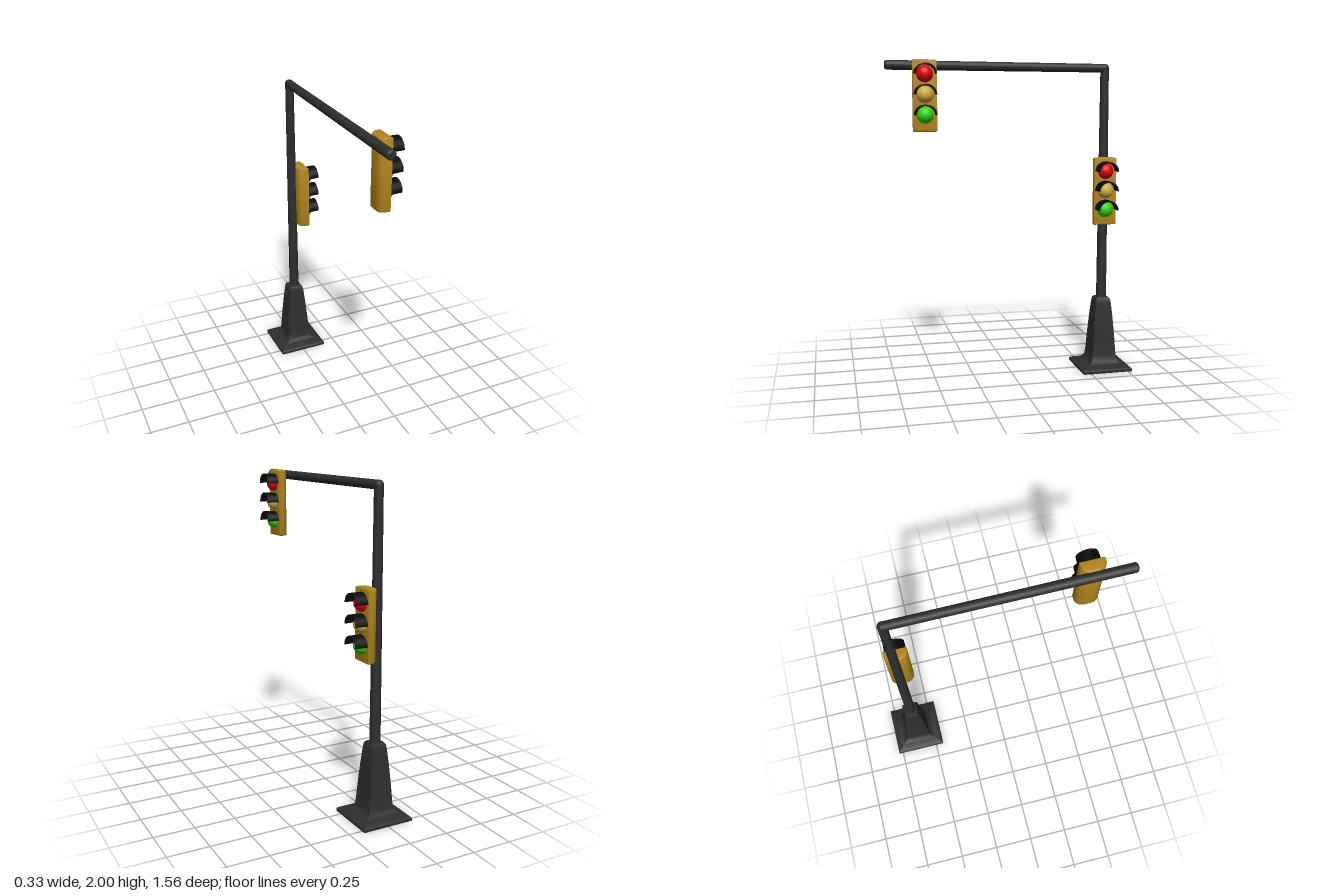
import * as THREE from 'three';
import { toCreasedNormals } from 'three/addons/utils/BufferGeometryUtils.js';

const paint = (color) => new THREE.MeshStandardMaterial({ color });
const iron = paint(0x2e2e2e);
const gold = paint(0xb0851c);
const black = paint(0x0a0a0a);
const lampPaints = { redLamp: paint(0xe00008), amberLamp: paint(0xcfae3c), greenLamp: paint(0x2fd808) };

const POLE_Z = -0.612;

function part(name, geometry, material) {
  const mesh = new THREE.Mesh(geometry, material);
  mesh.name = name;
  return mesh;
}

// Tapered round bar between two points
function bar(name, from, to, r0, r1) {
  const dir = to.clone().sub(from);
  const mesh = part(name, new THREE.CylinderGeometry(r1, r0, dir.length(), 24), iron);
  mesh.position.copy(from).addScaledVector(dir, 0.5);
  mesh.quaternion.setFromUnitVectors(new THREE.Vector3(0, 1, 0), dir.normalize());
  return mesh;
}

// Square flared foot: half width and height pairs swept around four sides
function footGeometry() {
  const profile = [[0, 0], [0.165, 0], [0.165, 0.016], [0.157, 0.024], [0.115, 0.037], [0.095, 0.049],
    [0.084, 0.066], [0.079, 0.1], [0.071, 0.22], [0.061, 0.34], [0.051, 0.44], [0.047, 0.464], [0.039, 0.475], [0, 0.475]];
  const points = profile.map(([half, y]) => new THREE.Vector2(half * Math.SQRT2, y));
  const geometry = new THREE.LatheGeometry(points, 4);
  geometry.rotateY(Math.PI / 4);
  return toCreasedNormals(geometry, 0.7);
}

// Signal case: flat front, rounded back, extruded upwards with a small bevel
function caseGeometry() {
  const b = 0.008, front = 0.09 - b, back = 0.02 + b, half = 0.073 - b;
  const shape = new THREE.Shape();
  shape.moveTo(front, -half);
  shape.lineTo(front, half);
  shape.lineTo(0.062, half);
  shape.bezierCurveTo(0.042, half - 0.004, back, 0.045, back, 0.018);
  shape.lineTo(back, -0.018);
  shape.bezierCurveTo(back, -0.045, 0.042, -half + 0.004, 0.062, -half);
  shape.closePath();
  const geometry = new THREE.ExtrudeGeometry(shape, {
    depth: 0.43 - 2 * b, bevelThickness: b, bevelSize: b, bevelSegments: 3, curveSegments: 10,
  });
  geometry.rotateX(-Math.PI / 2).translate(0, b, 0);
  return toCreasedNormals(geometry, 0.6);
}

// Visor: thin half-round hood, narrowing slightly towards its mouth
function visorGeometry() {
  const shape = new THREE.Shape();
  shape.absellipse(0, 0, 0.068, 0.062, 0, Math.PI, false);
  shape.lineTo(-0.060, 0);
  shape.absellipse(0, 0, 0.060, 0.054, Math.PI, 0, true);
  shape.closePath();
  const geometry = new THREE.ExtrudeGeometry(shape, { depth: 0.08, bevelEnabled: false, curveSegments: 20 });
  const p = geometry.attributes.position;
  for (let i = 0; i < p.count; i++) p.setX(i, p.getX(i) * (1 - 0.6 * p.getZ(i)));
  geometry.rotateY(Math.PI / 2);
  return toCreasedNormals(geometry, 0.6);
}

const housing = caseGeometry();
const visor = visorGeometry();
const lens = new THREE.SphereGeometry(0.051, 28, 18);

// Three-lamp signal facing +x, standing on its lower edge
function signal(name, y, z) {
  const group = new THREE.Group();
  group.name = name;
  group.position.set(0, y, z);
  group.add(part('signalCase', housing, gold));
  [['redLamp', 0.345], ['amberLamp', 0.222], ['greenLamp', 0.1]].forEach(([lampName, h]) => {
    const lamp = part(lampName, lens, lampPaints[lampName]);
    lamp.position.set(0.088, h, 0);
    const hood = part('visor', visor, black);
    hood.position.set(0.085, h, 0);
    group.add(lamp, hood);
  });
  return group;
}

export function createModel() {
  const model = new THREE.Group();
  model.name = 'trafficLight';

  const foot = part('foot', footGeometry(), iron);
  foot.position.z = POLE_Z;
  model.add(foot);

  // Pole, elbow and arm
  const corner = new THREE.Vector3(0, 1.962, POLE_Z);
  const armEnd = new THREE.Vector3(0, 1.969, 0.77);
  const tip = new THREE.Vector3(0, 1.969, 0.78);
  model.add(bar('pole', new THREE.Vector3(0, 0.46, POLE_Z), corner, 0.033, 0.027));
  model.add(bar('arm', corner, armEnd, 0.027, 0.029));
  model.add(bar('armTip', armEnd, tip, 0.029, 0.021));
  const elbow = part('elbow', new THREE.SphereGeometry(0.028, 24, 16), iron);
  elbow.position.copy(corner);
  model.add(elbow);

  model.add(signal('poleSignal', 0.968, -0.597));
  model.add(signal('armSignal', 1.57, 0.549));
  return model;
}
